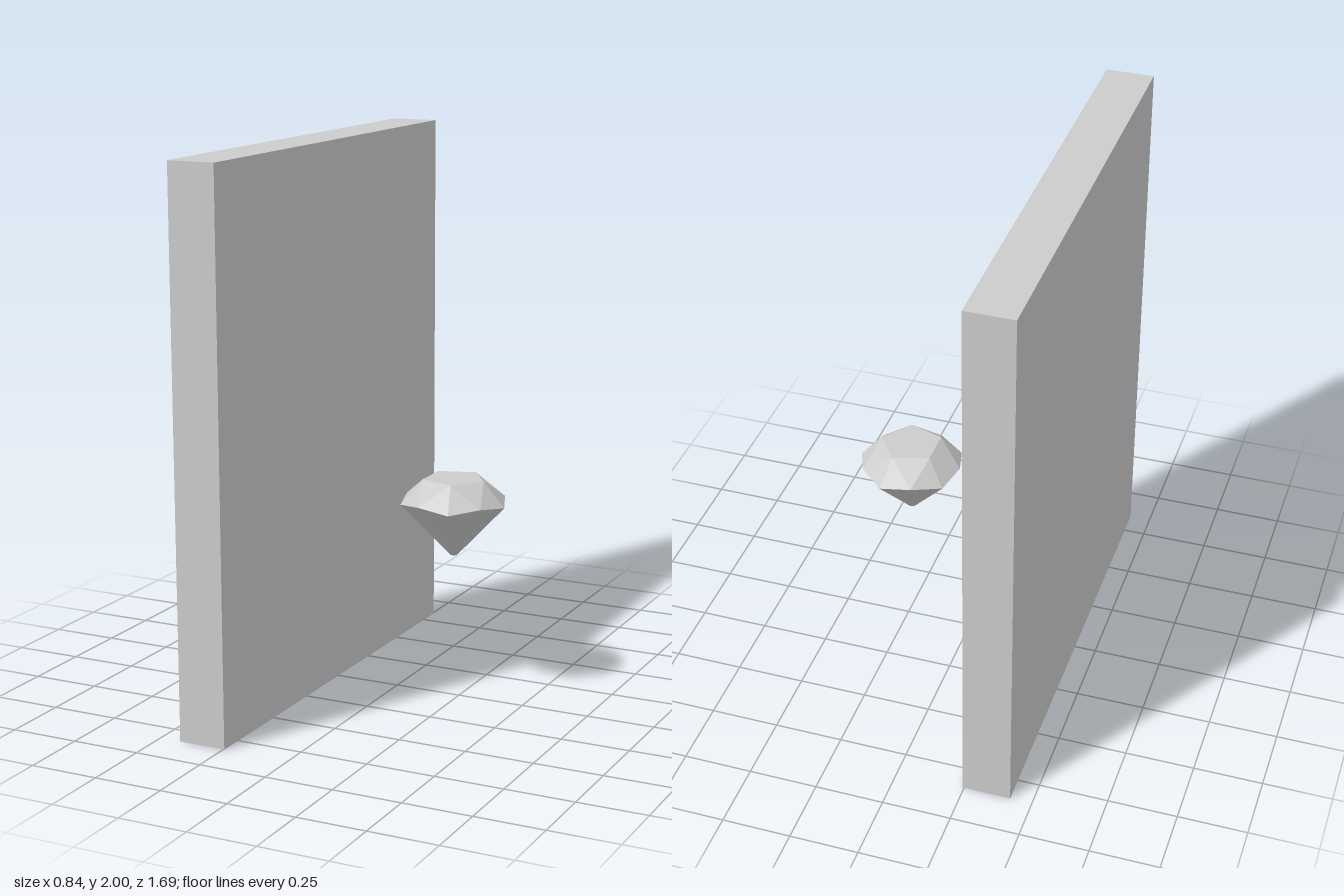
import * as THREE from 'three';

const material = new THREE.MeshStandardMaterial({ color: 0xcccccc, flatShading: true });

// Five-fold cut gem: pentagonal table, zigzag ten-point girdle, tiny culet
function gemGeometry() {
  const point = (r, y, step) => {
    const a = step * Math.PI / 5;
    return [r * Math.cos(a), y, -r * Math.sin(a)];
  };
  const table = k => point(0.115, 0.815, 2 * k);
  const girdle = i => (i % 2 ? point(0.187, 0.74, i) : point(0.195, 0.725, i));
  const culet = k => point(0.012, 0.53, 2 * k);
  const top = [0, 0.815, 0], bottom = [0, 0.53, 0];

  const positions = [];
  const tri = (...corners) => corners.forEach(c => positions.push(...c));
  for (let k = 0; k < 5; k++) {
    const t0 = table(k), t1 = table(k + 1);
    const g0 = girdle(2 * k), g1 = girdle(2 * k + 1), g2 = girdle(2 * k + 2);
    const c0 = culet(k), c1 = culet(k + 1);
    // table and crown
    tri(top, t0, t1);
    tri(t0, g1, t1);
    tri(t0, g0, g1);
    tri(t1, g1, g2);
    // pavilion and culet
    tri(g0, c0, g1);
    tri(c0, c1, g1);
    tri(g1, c1, g2);
    tri(bottom, c1, c0);
  }
  const geometry = new THREE.BufferGeometry();
  geometry.setAttribute('position', new THREE.Float32BufferAttribute(positions, 3));
  geometry.computeVertexNormals();
  return geometry;
}

export function createModel() {
  const group = new THREE.Group();

  // Upright slab
  const slab = new THREE.Mesh(new THREE.BoxGeometry(0.175, 2, 1.69), material);
  slab.name = 'slab';
  slab.position.set(-0.333, 1, 0);

  // Floating gem beside it
  const gem = new THREE.Mesh(gemGeometry(), material);
  gem.name = 'gem';
  gem.position.x = 0.226;

  group.add(slab, gem);
  return group;
}
